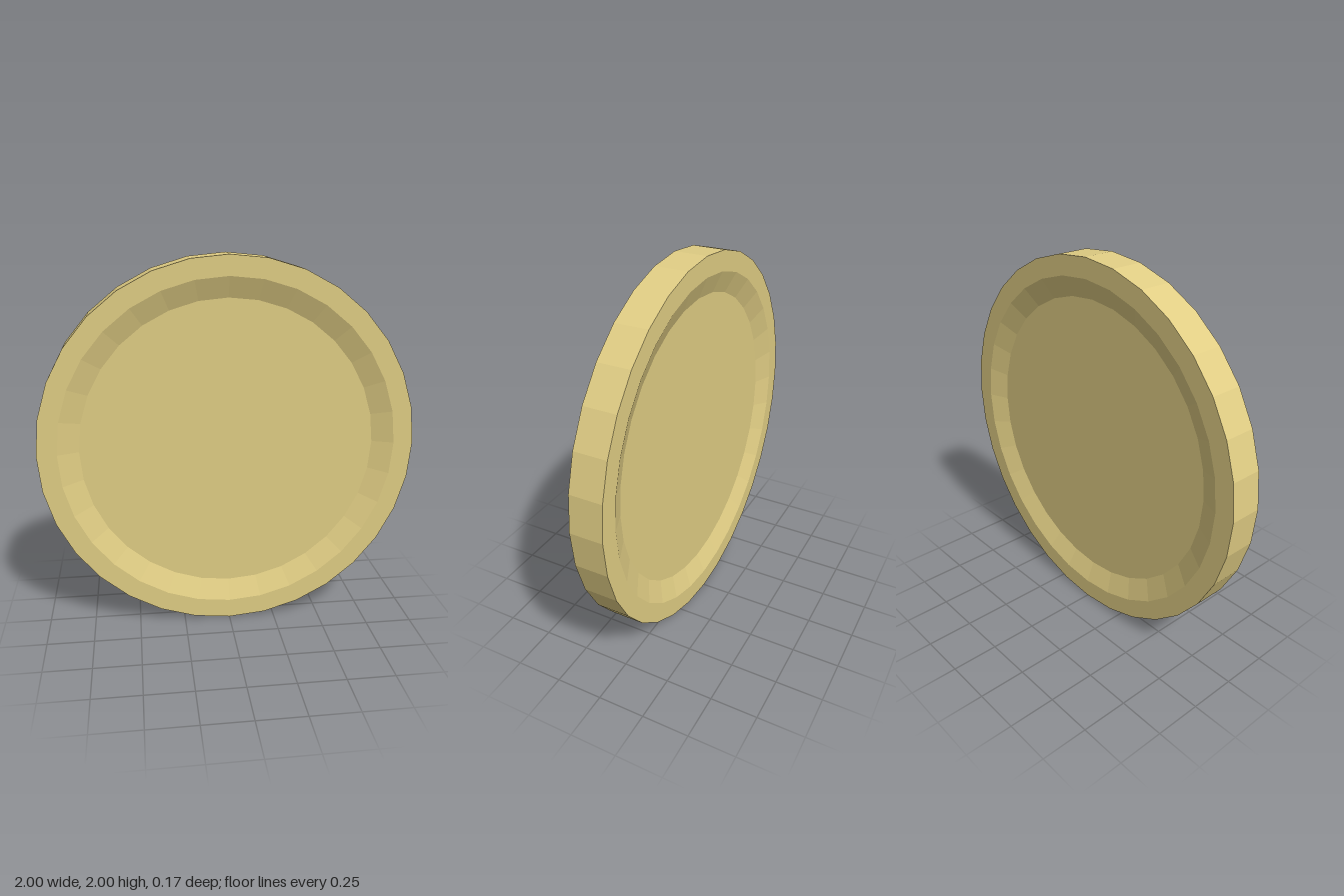
import * as THREE from 'three';

const SIDES = 32;
const HALF = 0.0875;   // half thickness at the rim
const FLOOR = 0.043;   // half thickness at the recessed faces

export function createModel() {
  const coin = new THREE.Group();
  coin.name = 'coin';
  const gold = new THREE.MeshStandardMaterial({ color: 0xe0cd84, flatShading: true });

  // Spins an (radius, depth) profile about the z axis
  const addTurned = (name, points) => {
    const profile = points.map(([r, d]) => new THREE.Vector2(r, d));
    const geometry = new THREE.LatheGeometry(profile, SIDES).rotateX(Math.PI / 2);
    const mesh = new THREE.Mesh(geometry, gold);
    mesh.name = name;
    mesh.position.y = 1;
    coin.add(mesh);
  };

  // Raised rim with a sloped inner bevel on both sides
  addTurned('rim', [
    [0.785, -FLOOR], [0.895, -HALF], [1, -HALF],
    [1, HALF], [0.895, HALF], [0.785, FLOOR],
  ]);

  // Recessed flat faces
  addTurned('frontFace', [[0.785, FLOOR], [0, FLOOR]]);
  addTurned('backFace', [[0, -FLOOR], [0.785, -FLOOR]]);

  return coin;
}
